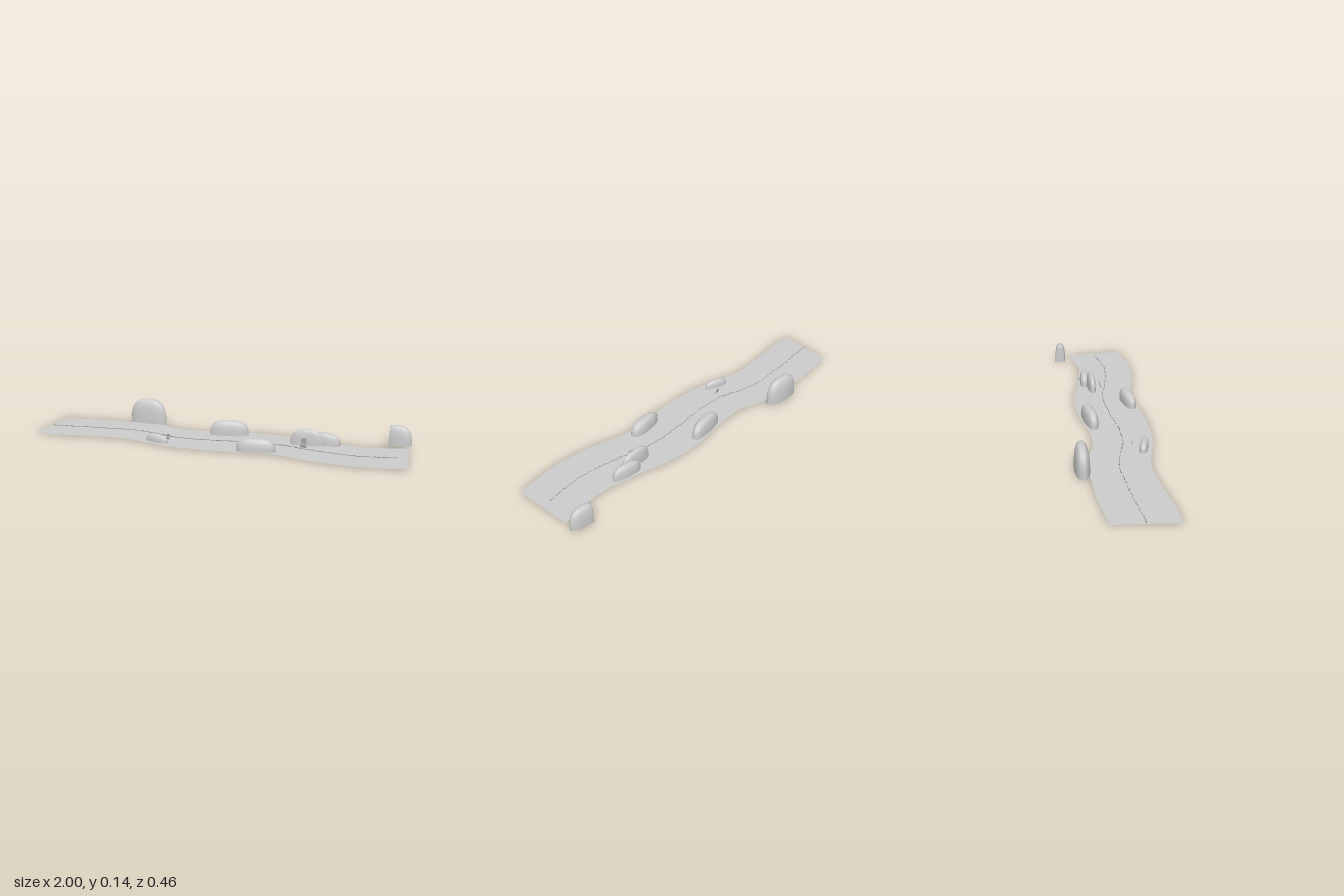
import * as THREE from 'three';
import { mergeVertices } from 'three/addons/utils/BufferGeometryUtils.js';

const GROUND_Y = 0.003;

// edge offsets of the trail, evenly spaced from right (-x) to left (+x)
const BACK = [-.094, -.115, -.134, -.139, -.15, -.131, -.099, -.104, -.128, -.152, -.158, -.15, -.123, -.107, -.096, -.115, -.147];
const FRONT = [.225, .214, .193, .174, .163, .184, .211, .217, .211, .198, .179, .176, .203, .217, .222, .203, .179];

function edgeCurve(zs, x0, x1) {
  return new THREE.CatmullRomCurve3(zs.map((z, i) =>
    new THREE.Vector3(THREE.MathUtils.lerp(x0, x1, i / (zs.length - 1)), GROUND_Y, z)));
}

function seeded(seed) {
  let s = seed;
  return () => (s = (s * 16807) % 2147483647) / 2147483647;
}

// open-bottomed rounded boulder; cutX slices one end flat
function boulderGeometry(hx, h, hz, seed, cutX = -1) {
  let g = new THREE.SphereGeometry(1, 28, 12, 0, Math.PI * 2, 0, Math.PI / 2);
  g.deleteAttribute('uv');
  g.deleteAttribute('normal');
  g = mergeVertices(g, 1e-4);
  const p = g.attributes.position;
  const v = new THREE.Vector3();
  for (let i = 0; i < p.count; i++) {
    v.fromBufferAttribute(p, i);
    const plan = (Math.abs(v.x) ** 2.4 + Math.abs(v.z) ** 2.4) ** (1 / 2.4);
    v.divideScalar((plan ** 2.9 + Math.abs(v.y) ** 2.9) ** (1 / 2.9));
    const a = Math.atan2(v.z, v.x);
    const lump = 1 + 0.025 * Math.sin(3 * a + seed) + 0.015 * Math.sin(7 * a + seed * 2);
    p.setXYZ(i, Math.max(v.x * lump, cutX) * hx, Math.max(0, v.y) * h, v.z * lump * hz);
  }
  g.computeVertexNormals();
  return g;
}

// strip of quads between two equally long rows of points
function ribbon(rowA, rowB) {
  const pos = [], idx = [];
  rowA.forEach((a, i) => {
    pos.push(...a.toArray(), ...rowB[i].toArray());
    const k = i * 2;
    if (i) idx.push(k - 2, k - 1, k, k - 1, k + 1, k);
  });
  const g = new THREE.BufferGeometry();
  g.setAttribute('position', new THREE.Float32BufferAttribute(pos, 3));
  g.setIndex(idx);
  g.computeVertexNormals();
  return g;
}

export function createModel() {
  const model = new THREE.Group();
  const stone = new THREE.MeshStandardMaterial({ color: 0xcccccc, side: THREE.DoubleSide });
  stone.name = 'pale grey';
  const dark = new THREE.MeshStandardMaterial({ color: 0x999999, side: THREE.DoubleSide });
  dark.name = 'mid grey';
  const add = (name, geometry, material, parent = model) => {
    const m = new THREE.Mesh(geometry, material);
    m.name = name;
    parent.add(m);
    return m;
  };

  // wavy ground strip
  const N = 96;
  const sample = (c) => Array.from({ length: N + 1 }, (_, i) => c.getPoint(i / N));
  const back = sample(edgeCurve(BACK, -0.98, 0.97));
  const front = sample(edgeCurve(FRONT, -1, 1));
  add('ground', ribbon(back, front), stone);

  // low ragged ridge along the middle of the strip
  const rand = seeded(17);
  const mid = edgeCurve(BACK.map((z, i) => (z + FRONT[i]) / 2), -0.985, 0.975);
  const low = [], high = [];
  const STEPS = 260;
  for (let i = 0; i <= STEPS; i++) {
    const q = mid.getPoint(i / STEPS * 0.98);
    q.z += (rand() - 0.5) * 0.008;
    low.push(new THREE.Vector3(q.x, 0, q.z));
    high.push(new THREE.Vector3(q.x, 0.005 + rand() * 0.003, q.z));
  }
  add('ridge', ribbon(low, high), dark);

  // boulders: x, z, half length, height, half depth, turn, cut end
  const boulders = [
    [-0.495, -0.174, 0.105, 0.136, 0.038, 0, -1],
    [-0.31, 0.155, 0.066, 0.042, 0.021, -0.25, -1],
    [0.015, -0.09, 0.105, 0.08, 0.034, 0.2, -1],
    [0.235, 0.143, 0.1, 0.067, 0.034, 0.18, -1],
    [0.455, -0.043, 0.085, 0.085, 0.022, 0.06, -1],
    [0.543, -0.076, 0.082, 0.065, 0.028, -0.05, -1],
    [0.9, -0.2, 0.08, 0.104, 0.03, -0.06, -0.45],
  ];
  boulders.forEach(([x, z, hx, h, hz, turn, cut], i) => {
    const b = add('boulder' + (i + 1), boulderGeometry(hx, h, hz, i * 1.7, cut), stone);
    b.position.set(x, GROUND_Y, z);
    b.rotation.y = turn;
  });

  // small bent markers: half width, height, depth along a folded profile
  const profile = [[0.017, 0.003, 0.012], [0.016, 0.015, 0.012], [0.014, 0.022, 0.007],
    [0.014, 0.028, 0.004], [0.012, 0.05, 0.002]];
  [[0.45, 0, 1], [-0.268, 0.095, 0.6]].forEach(([x, z, s], i) => {
    const side = (sign) => profile.map(([w, y, d]) => new THREE.Vector3(sign * w, y, d));
    const m = add('marker' + (i + 1), ribbon(side(-1), side(1)), dark);
    m.position.set(x, 0, z);
    m.scale.setScalar(s);
  });

  return model;
}
